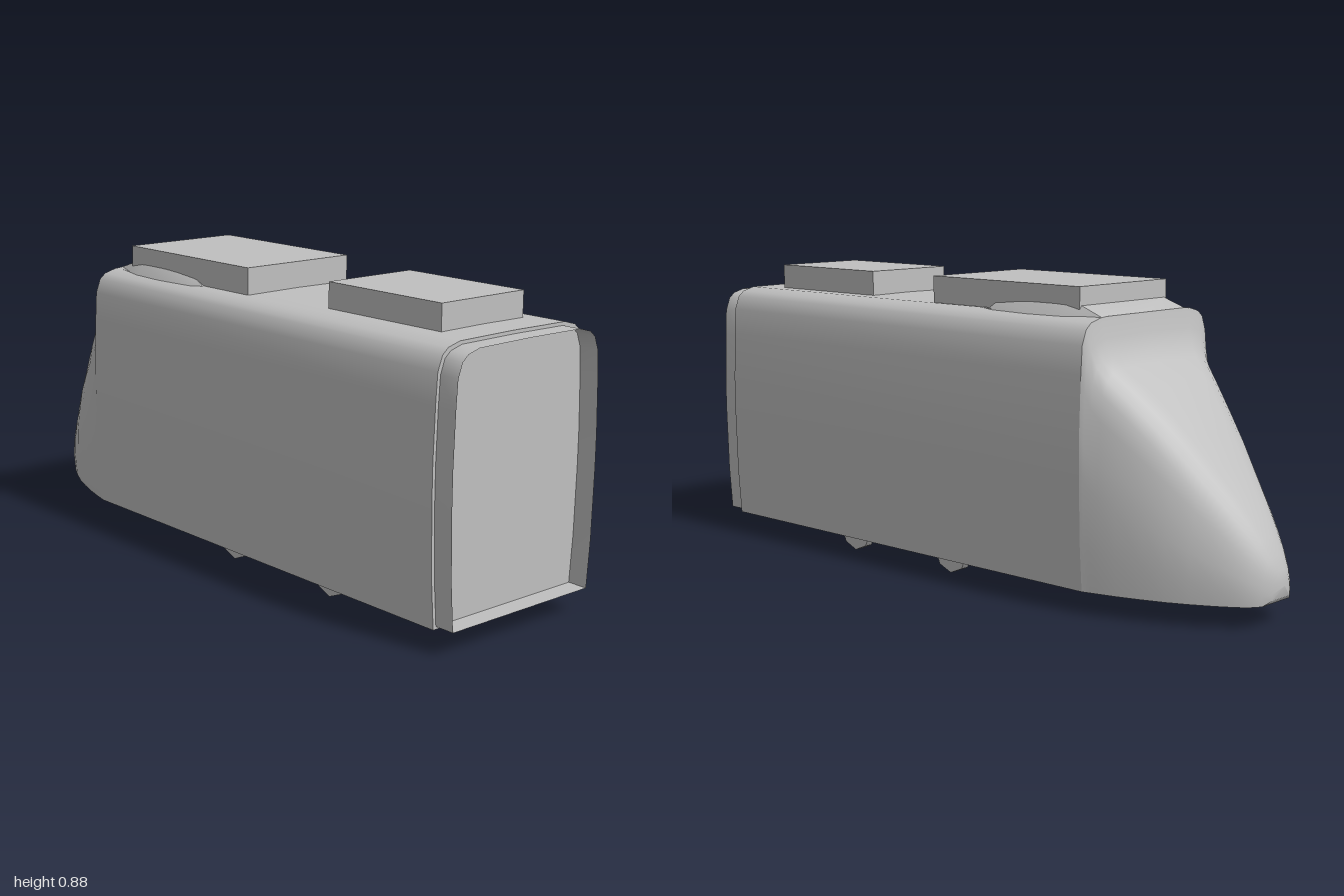
import * as THREE from 'three';
import { toCreasedNormals } from 'three/addons/utils/BufferGeometryUtils.js';

const grey = new THREE.MeshStandardMaterial({ color: 0xc0c0c0 });
grey.name = 'grey';
const greyThin = grey.clone();
greyThin.name = 'grey thin';
greyThin.side = THREE.DoubleSide;

// Half outline of the car body, from the sill up to the roof centre
const HALF = [
  [0.265, 0.062], [0.275, 0.2], [0.28, 0.4], [0.28, 0.5], [0.275, 0.65],
  [0.27, 0.73], [0.255, 0.77], [0.235, 0.787], [0.195, 0.798], [0, 0.8],
];
const BOTTOM = 0.062, HEIGHT = 0.738, HALF_WIDTH = 0.28;

// Mirror a half outline into a closed ring at depth z
function ring(half, z) {
  const left = half.map(([x, y]) => [x, y, z]);
  const right = half.slice(0, -1).reverse().map(([x, y]) => [-x, y, z]);
  return [...left, ...right];
}

// Skin a list of rings, running from high z to low z, with optional end caps
function loft(rings, capStart, capEnd, crease = 0.6) {
  const n = rings[0].length;
  const pos = rings.flat(2);
  const index = [];
  for (let r = 0; r < rings.length - 1; r++) {
    for (let i = 0; i < n; i++) {
      const j = (i + 1) % n, a = r * n, b = a + n;
      index.push(a + i, b + i, a + j, a + j, b + i, b + j);
    }
  }
  const cap = (r, flip) => {
    const c = pos.length / 3;
    const ys = rings[r].map((p) => p[1]);
    pos.push(0, (Math.min(...ys) + Math.max(...ys)) / 2, rings[r][0][2]);
    for (let i = 0; i < n; i++) {
      const a = r * n + i, b = r * n + (i + 1) % n;
      index.push(c, flip ? b : a, flip ? a : b);
    }
  };
  if (capStart) cap(0, false);
  if (capEnd) cap(rings.length - 1, true);
  const g = new THREE.BufferGeometry();
  g.setAttribute('position', new THREE.Float32BufferAttribute(pos, 3));
  g.setIndex(index);
  return toCreasedNormals(g, crease);
}

// Nose stations: z, half width, bottom, top, roundness
const NOSE = [
  [-0.53, 0.28, 0.062, 0.8, 0], [-0.54, 0.277, 0.062, 0.745, 0.05],
  [-0.555, 0.273, 0.062, 0.7, 0.12], [-0.58, 0.267, 0.062, 0.668, 0.2],
  [-0.63, 0.253, 0.062, 0.622, 0.32], [-0.7, 0.23, 0.062, 0.552, 0.48],
  [-0.76, 0.207, 0.062, 0.485, 0.6], [-0.82, 0.178, 0.062, 0.41, 0.72],
  [-0.88, 0.144, 0.062, 0.335, 0.84], [-0.92, 0.118, 0.062, 0.28, 0.92],
  [-0.95, 0.094, 0.062, 0.235, 1], [-0.975, 0.067, 0.064, 0.19, 1],
  [-0.99, 0.042, 0.078, 0.155, 1], [-1, 0.004, 0.11, 0.118, 1],
];

function noseRing([z, w, bottom, top, k]) {
  const half = HALF.map(([x, y], i) => {
    const a = (i / (HALF.length - 1)) * Math.PI / 2;
    const roundX = i === 0 ? 0.95 : Math.max(0, Math.cos(a)) ** 0.85;
    const roundY = Math.sin(a) ** 0.9;
    const u = THREE.MathUtils.lerp(x / HALF_WIDTH, i === HALF.length - 1 ? 0 : roundX, k);
    const v = THREE.MathUtils.lerp((y - BOTTOM) / HEIGHT, roundY, k);
    return [u * w, bottom + v * (top - bottom)];
  });
  return ring(half, z);
}

export function createModel() {
  const model = new THREE.Group();
  model.name = 'railCar';
  const add = (name, geometry, x = 0, y = 0, z = 0, material = grey) => {
    const mesh = new THREE.Mesh(geometry, material);
    mesh.name = name;
    mesh.position.set(x, y, z);
    model.add(mesh);
    return mesh;
  };

  // Main shell and tapered nose
  add('body', loft([ring(HALF, 0.94), ring(HALF, -0.53)], true, true));
  add('nose', loft(NOSE.map(noseRing), false, true, 0.75));

  // Open gangway sleeve on the flat end
  const sleeve = HALF.map(([x, y]) => [x * 0.965, 0.07 + (y - BOTTOM) * 0.976]);
  add('gangwaySleeve', loft([ring(sleeve, 1), ring(sleeve, 0.935)], false, false), 0, 0, 0, greyThin);

  // Roof equipment boxes
  add('frontRoofUnit', new THREE.BoxGeometry(0.304, 0.08, 0.424), 0, 0.832, 0.622);
  add('rearRoofUnit', new THREE.BoxGeometry(0.376, 0.085, 0.56), 0, 0.8335, -0.17);

  // Low fairing around the rear roof unit: z, top, half width
  const fairing = [
    [-0.09, 0.795, 0.195], [-0.14, 0.817, 0.205], [-0.28, 0.825, 0.21],
    [-0.4, 0.825, 0.207], [-0.45, 0.824, 0.2], [-0.53, 0.8, 0.19],
  ].map(([z, top, w]) => ring([[w + 0.01, 0.78], [w, 0.798], [w - 0.02, top], [0, top]], z));
  add('roofFairing', loft(fairing, true, true));

  // Wheels
  const wheel = new THREE.CylinderGeometry(0.065, 0.065, 0.025, 8);
  wheel.rotateZ(Math.PI / 2);
  const wheelGeometry = toCreasedNormals(wheel, 0.9);
  for (const side of [1, -1]) {
    for (const z of [0.465, 0.045]) add('wheel', wheelGeometry, side * 0.177, 0.065, z);
  }
  return model;
}
